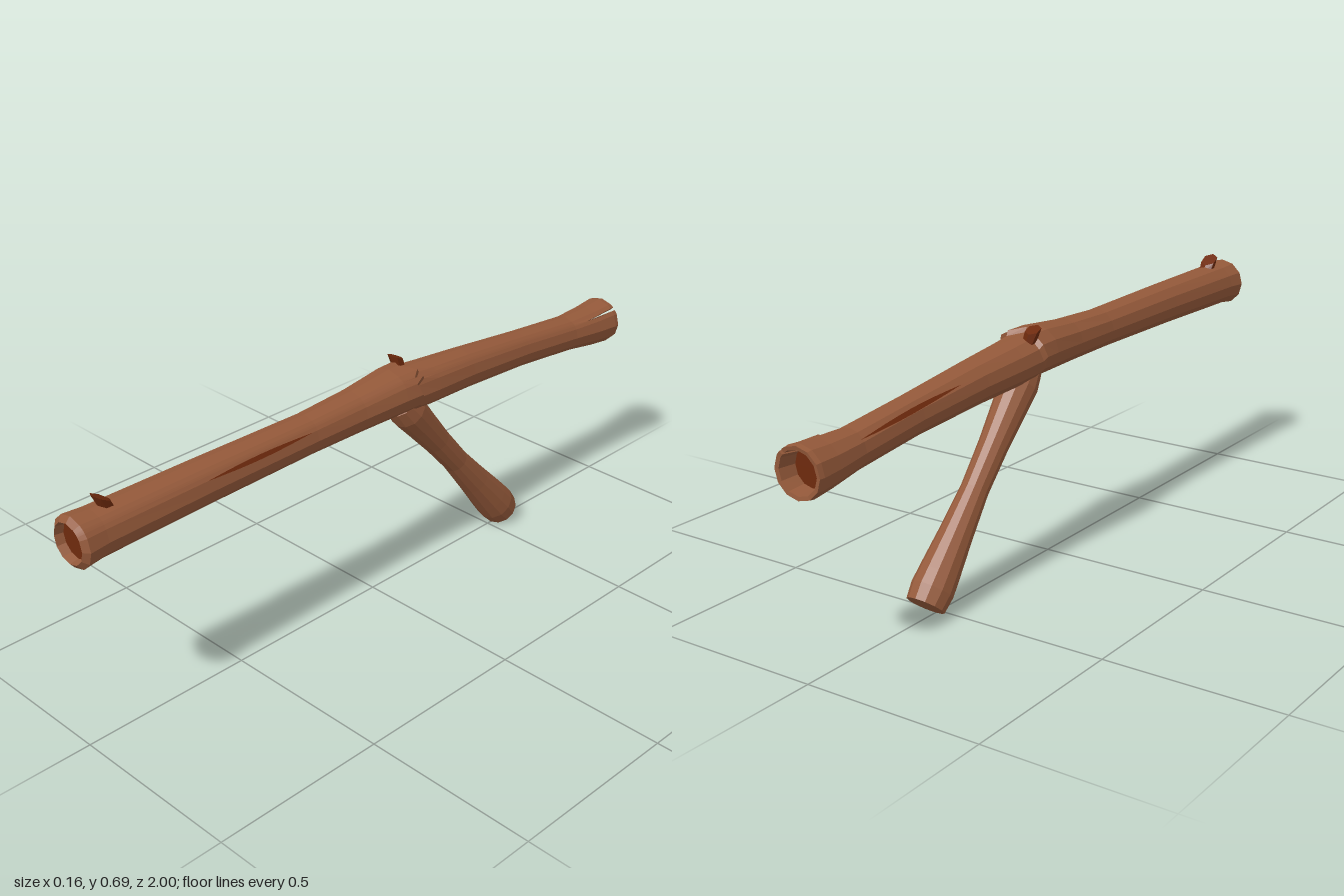
import * as THREE from 'three';

const bark = new THREE.MeshStandardMaterial({ color: 0x94593a });
const core = new THREE.MeshStandardMaterial({ color: 0x6e2a0d });
bark.name = 'bark brown';
core.name = 'heartwood red brown';

// Facet a geometry so each face is flat
function facet(geometry) {
  const g = geometry.index ? geometry.toNonIndexed() : geometry;
  g.computeVertexNormals();
  return g;
}

function part(name, geometry, material) {
  const mesh = new THREE.Mesh(facet(geometry), material);
  mesh.name = name;
  return mesh;
}

// Trunk rings from front to back: z, centre height, half width, half height
const rings = [
  [0.975, 0.595, 0.05, 0.05], // front recess
  [1, 0.595, 0.055, 0.055],
  [0.987, 0.595, 0.072, 0.07],
  [0.93, 0.597, 0.067, 0.064],
  [0.6, 0.6, 0.061, 0.06],
  [0.25, 0.6, 0.056, 0.056],
  [0.08, 0.604, 0.063, 0.06],
  [-0.06, 0.611, 0.077, 0.067],
  [-0.115, 0.611, 0.08, 0.067], // broken ledge
  [-0.125, 0.601, 0.073, 0.064],
  [-0.2, 0.595, 0.069, 0.063],
  [-0.35, 0.585, 0.06, 0.059],
  [-0.6, 0.563, 0.052, 0.053],
  [-0.82, 0.54, 0.054, 0.053],
  [-0.92, 0.533, 0.064, 0.062],
  [-0.985, 0.532, 0.071, 0.068],
  [-1, 0.532, 0.069, 0.066],
  [-0.998, 0.532, 0.058, 0.056],
  [-0.95, 0.532, 0.05, 0.05], // rear recess
];
const NOTCH = 45;
const degrees = [0, 30, 41, NOTCH, 49, 60, 90, 120, 150, 180, 210, 240, 270, 300, 330];

function ringPoint([z, cy, rx, ry], deg, grow = 0) {
  const a = THREE.MathUtils.degToRad(deg);
  return [(rx + grow) * Math.cos(a), cy + (ry + grow) * Math.sin(a), z];
}

function trunkGeometry() {
  const positions = [], index = [], n = degrees.length;
  rings.forEach((ring, i) => degrees.forEach((deg, j) => {
    const p = ringPoint(ring, deg);
    // split running in from the rear rim
    if (deg === NOTCH && ring[0] < -0.9) p[2] = -0.87 + (ring[0] + 1) * 0.05;
    // uneven torn edge on the upper half of the ledge
    if ((i === 8 || i === 9) && deg < 180) p[2] += 0.018 * Math.sin(j * 2.3);
    positions.push(...p);
    if (i === rings.length - 1) return;
    const a = i * n + j, b = i * n + (j + 1) % n;
    index.push(a, a + n, b, b, a + n, b + n);
  }));
  const g = new THREE.BufferGeometry();
  g.setAttribute('position', new THREE.Float32BufferAttribute(positions, 3));
  g.setIndex(index);
  return g;
}

// Interpolated trunk ring at any z along the outer bark
function ringAt(z) {
  const i = rings.findIndex((r, k) => k > 2 && r[0] <= z);
  const a = rings[i - 1], b = rings[i], t = (z - a[0]) / (b[0] - a[0]);
  return a.map((v, k) => THREE.MathUtils.lerp(v, b[k], t));
}

// Thin pointed crack lying on the bark
function crackGeometry(z0, z1, deg, halfWidth) {
  const positions = [], index = [], steps = 8;
  for (let i = 0; i <= steps; i++) {
    const t = i / steps, w = halfWidth * Math.sin(Math.PI * t) + 0.1;
    const ring = ringAt(THREE.MathUtils.lerp(z0, z1, t));
    positions.push(...ringPoint(ring, deg - w, 0.0015), ...ringPoint(ring, deg + w, 0.0015));
    const a = i * 2;
    if (i < steps) index.push(a, a + 2, a + 1, a + 1, a + 2, a + 3);
  }
  const g = new THREE.BufferGeometry();
  g.setAttribute('position', new THREE.Float32BufferAttribute(positions, 3));
  g.setIndex(index);
  return g;
}

// Snapped twig stub whose top is sheared and slopes up toward the front
function stubGeometry(radius, height, leanX, leanZ, slope) {
  const g = new THREE.CylinderGeometry(radius, radius * 0.85, height, 6);
  const p = g.attributes.position;
  for (let i = 0; i < p.count; i++) {
    if (p.getY(i) < 0) continue;
    const z = p.getZ(i);
    p.setXYZ(i, p.getX(i) + leanX, p.getY(i) + slope * z, z + leanZ);
  }
  return g;
}

export function createModel() {
  const group = new THREE.Group();
  group.name = 'forkedStick';

  group.add(part('trunk', trunkGeometry(), bark));

  // Exposed wood at both trunk ends
  const frontCore = part('frontCore', new THREE.CircleGeometry(0.051, 12), core);
  frontCore.position.set(0, 0.595, 0.976);
  const rearCore = part('rearCore', new THREE.CircleGeometry(0.052, 12), core);
  rearCore.position.set(0, 0.532, -0.951);
  rearCore.rotation.y = Math.PI;
  group.add(frontCore, rearCore);

  // Side branch, sloping down and back
  const profile = [
    [0, 0], [0.053, 0], [0.058, 0.045], [0.055, 0.09], [0.046, 0.2], [0.038, 0.33],
    [0.041, 0.46], [0.048, 0.57], [0.053, 0.64], [0.045, 0.69], [0, 0.7],
  ].map(([r, y]) => new THREE.Vector2(r, y));
  const branch = part('branch', new THREE.LatheGeometry(profile, 12), bark);
  const tip = new THREE.Vector3(0, 0.041, -0.555);
  const fork = new THREE.Vector3(0, 0.57, -0.1);
  branch.position.copy(tip);
  branch.quaternion.setFromUnitVectors(new THREE.Vector3(0, 1, 0), fork.sub(tip).normalize());
  group.add(branch);

  // Cracks in the bark
  group.add(part('frontCrack', crackGeometry(0.62, 0.27, 30, 6), core));
  group.add(part('rearCrack', crackGeometry(-0.45, -0.83, 142, 7), core));

  // Snapped twigs on top
  const frontStub = part('frontStub', stubGeometry(0.025, 0.036, 0, 0.02, 0.55), core);
  frontStub.position.set(0, 0.662, 0.88);
  const middleStub = part('middleStub', stubGeometry(0.022, 0.036, -0.008, 0.008, 0.4), core);
  middleStub.position.set(-0.032, 0.664, -0.135);
  group.add(frontStub, middleStub);

  return group;
}
